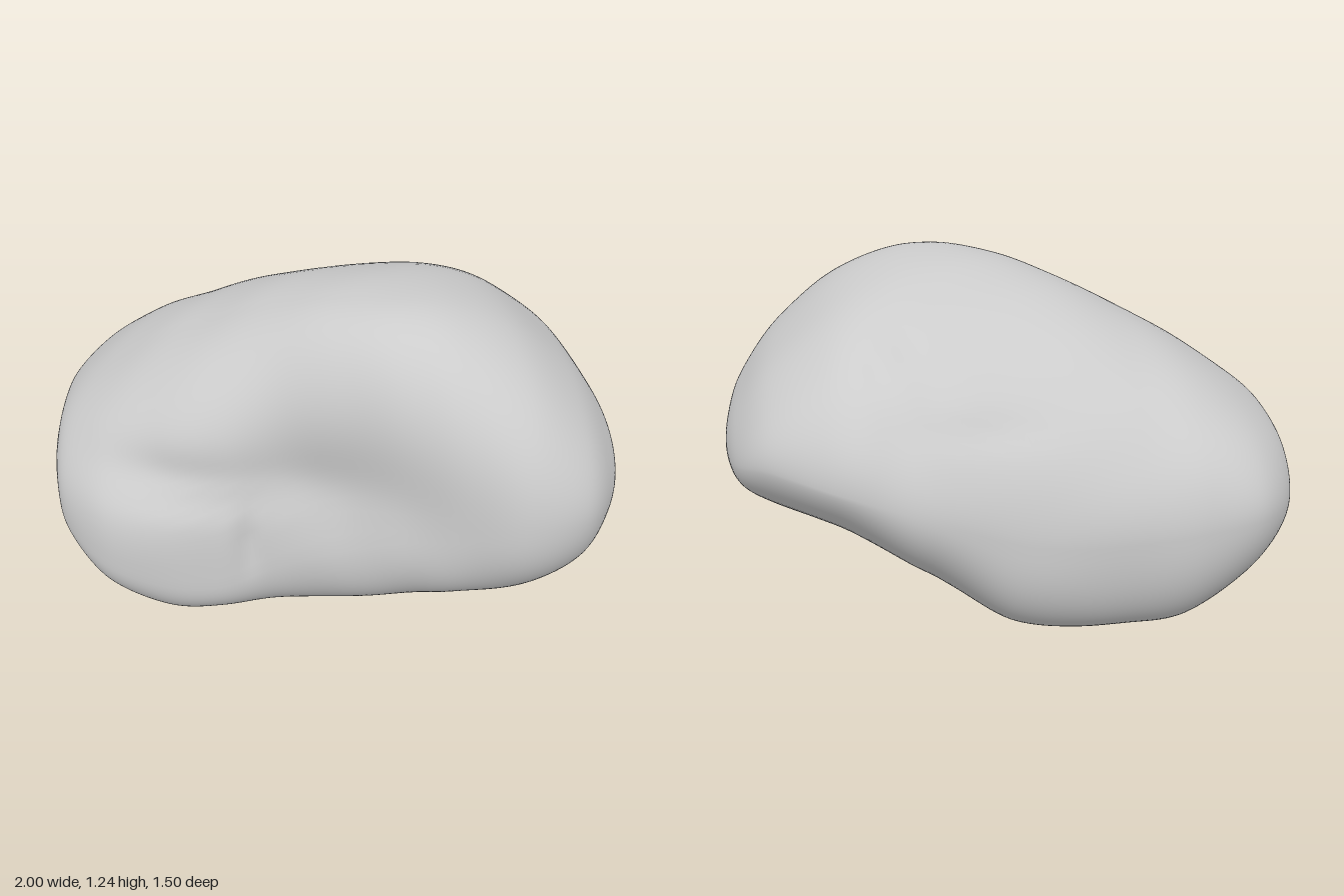
import * as THREE from 'three';

// Cross-sections along x: [x, bottom, top], [back, front, height of front],
// [height of back, z of top, z of bottom]
const SECTIONS = [
  [-1, .51, .52, -.06, -.05, .51, .51, -.05, -.05],
  [-.985, .40, .62, -.32, .14, .47, .51, -.08, -.06],
  [-.94, .28, .715, -.52, .27, .41, .5, -.1, -.08],
  [-.8, .12, .83, -.69, .41, .34, .52, -.1, -.12],
  [-.6, .02, .96, -.75, .475, .3, .51, -.1, -.2],
  [-.4, .015, 1.06, -.755, .485, .3, .49, -.04, -.22],
  [-.2, .0, 1.15, -.75, .47, .38, .48, .04, -.15],
  [0, .025, 1.21, -.74, .53, .48, .5, .13, -.08],
  [.2, .1, 1.235, -.725, .62, .56, .56, .2, .08],
  [.4, .18, 1.215, -.70, .70, .61, .62, .2, .25],
  [.6, .23, 1.13, -.64, .75, .63, .67, .2, .35],
  [.8, .31, .97, -.51, .69, .63, .69, .18, .33],
  [.92, .395, .82, -.34, .53, .61, .64, .15, .26],
  [.98, .48, .71, -.1, .36, .6, .6, .15, .2],
  [1, .58, .59, .16, .17, .585, .585, .17, .17],
];

// Squareness along x: [x, upper front, upper back, lower front, lower back]
const SQUARENESS = [
  [-1, 2.1, 2, 2.5, 2],
  [-.8, 2.25, 2.05, 2.7, 2.05],
  [-.4, 2.6, 1.9, 3, 2.6],
  [0, 2.75, 1.85, 3, 2.75],
  [.3, 2.4, 1.9, 2.6, 2.1],
  [.6, 2.08, 1.96, 2.15, 1.65],
  [1.01, 2, 2, 2, 1.75],
];

// Hollows (positive depth): centre, radii, depth
const DENTS = [
  [[0, .68, .55], [.4, .2, .3], .065],       // broad front hollow
  [[-.6, .67, .4], [.3, .1, .25], .045],     // step above the front lobe
  [[-.31, .42, .48], [.04, .1, .12], .02],   // front notch
  [[-.45, .58, .42], [.2, .03, .15], .012],  // front crease
  [[.42, 1.0, -.4], [.09, .1, .12], .03],    // rear shoulder groove
  [[.36, .82, -.6], [.1, .2, .15], .025],    // groove running down the back
  [[.1, .84, -.64], [.2, .04, .15], .012],   // rear crease
  [[.5, .36, -.12], [.1, .1, .1], .02],      // pit under the left end
  [[.75, .45, -.12], [.1, .1, .07], .012],   // crease on the left end
];

function sectionSampler() {
  const curves = [0, 3, 6].map(k => new THREE.CatmullRomCurve3(
    SECTIONS.map(s => new THREE.Vector3(s[k], s[k + 1], s[k + 2])), false, 'catmullrom', .5));
  return t => curves.flatMap(c => c.getPoint(t).toArray());
}

function squarenessAt(x) {
  const i = Math.max(1, SQUARENESS.findIndex(row => row[0] > x));
  const a = SQUARENESS[i - 1], b = SQUARENESS[i];
  const t = THREE.MathUtils.smoothstep(x, a[0], b[0]);
  return a.slice(1).map((v, k) => v + (b[k + 1] - v) * t);
}

// Point on a section made of four rounded quarters
function sectionPoint([x, bottom, top, back, front, yFront, yBack, zTop, zBottom], square, a) {
  const c = Math.cos(a), s = Math.sin(a);
  const power = 2 / square[(s > 0 ? 0 : 2) + (c > 0 ? 0 : 1)];
  const u = Math.abs(c) ** power, v = Math.abs(s) ** power;
  const zMid = s > 0 ? zTop : zBottom;
  const yMid = c > 0 ? yFront : yBack;
  return new THREE.Vector3(x,
    yMid + ((s > 0 ? top : bottom) - yMid) * v,
    zMid + ((c > 0 ? front : back) - zMid) * u);
}

function weather(p) {
  const inward = new THREE.Vector3(p.x * .6, .58, 0).sub(p).normalize();
  let depth = 0;
  for (const [c, r, d] of DENTS) {
    const q = ((p.x - c[0]) / r[0]) ** 2 + ((p.y - c[1]) / r[1]) ** 2 + ((p.z - c[2]) / r[2]) ** 2;
    depth += d * Math.exp(-q);
  }
  // Faint surface unevenness
  depth += .002 * Math.sin(p.x * 11 + p.z * 6) * Math.sin(p.y * 13 + p.z * 9 + 1);
  return p.addScaledVector(inward, depth);
}

function stoneGeometry(rings = 140, sides = 120) {
  const sample = sectionSampler(), positions = [], index = [];
  for (let i = 0; i <= rings; i++) {
    const section = sample(i / rings), square = squarenessAt(section[0]);
    for (let j = 0; j < sides; j++) {
      positions.push(...weather(sectionPoint(section, square, (j / sides) * Math.PI * 2)).toArray());
    }
  }
  for (let i = 0; i < rings; i++) {
    for (let j = 0; j < sides; j++) {
      const a = i * sides + j, b = i * sides + (j + 1) % sides;
      index.push(a, a + sides, b, b, a + sides, b + sides);
    }
  }
  // Close both ends
  for (let j = 1; j < sides - 1; j++) {
    const e = rings * sides;
    index.push(0, j, j + 1, e, e + j + 1, e + j);
  }
  const g = new THREE.BufferGeometry();
  g.setAttribute('position', new THREE.Float32BufferAttribute(positions, 3));
  g.setIndex(index);
  g.computeBoundingBox();
  g.translate(0, -g.boundingBox.min.y, 0);
  g.computeVertexNormals();
  return g;
}

export function createModel() {
  const group = new THREE.Group();
  group.name = 'rock';
  const stone = new THREE.Mesh(stoneGeometry(), new THREE.MeshStandardMaterial({ color: 0xcccccc }));
  stone.name = 'boulder';
  group.add(stone);
  return group;
}
